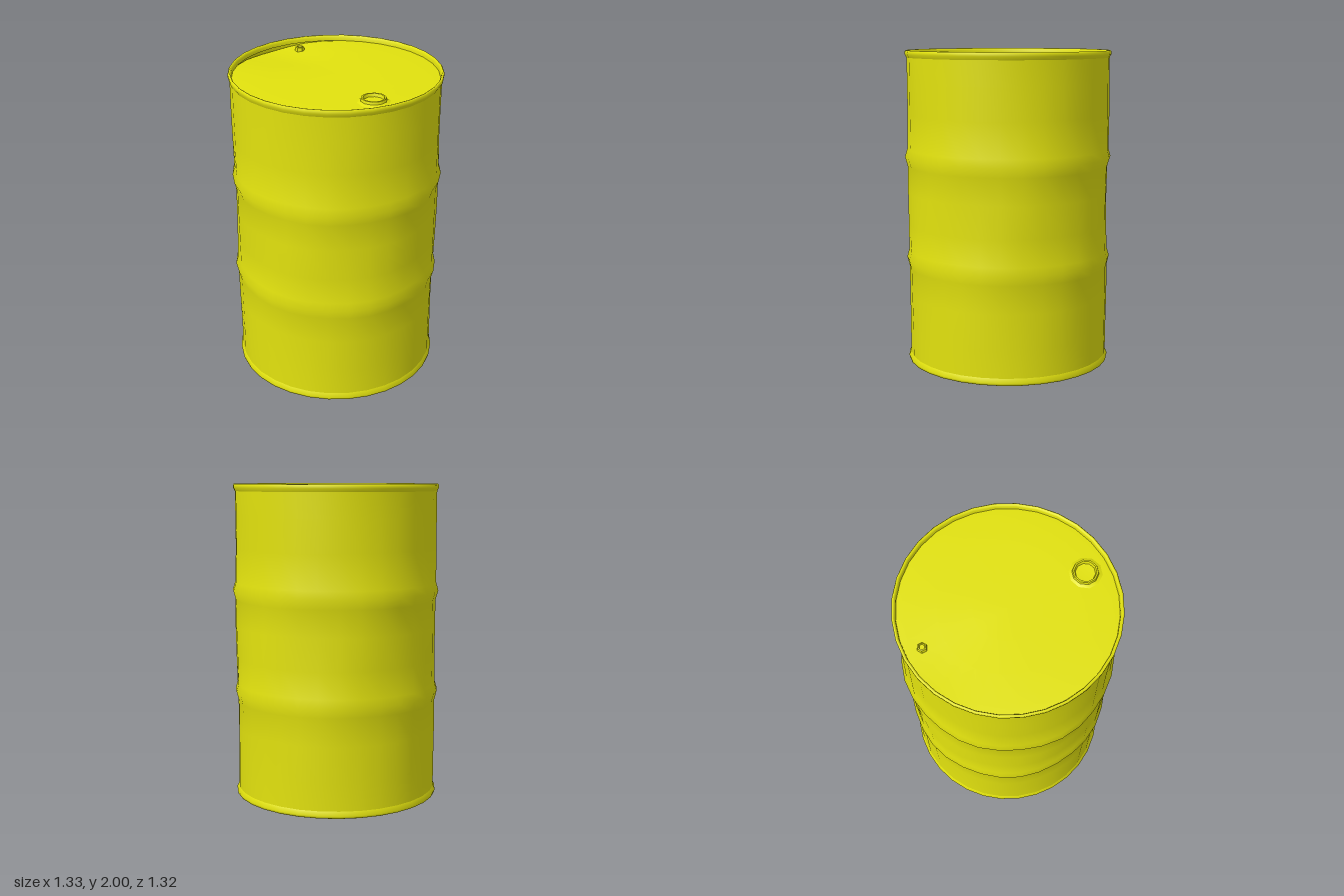
import * as THREE from 'three';
import { toCreasedNormals } from 'three/addons/utils/BufferGeometryUtils.js';

const SEGMENTS = 32;

// Revolves [radius, y] pairs around the y axis.
function lathe(points, segments = SEGMENTS) {
  return new THREE.LatheGeometry(points.map(([r, y]) => new THREE.Vector2(r, y)), segments);
}

// Gentle dents: push the wall in or out depending on angle and height.
function dent(geometry) {
  const p = geometry.attributes.position;
  for (let i = 0; i < p.count; i++) {
    const x = p.getX(i), y = p.getY(i), z = p.getZ(i);
    const a = Math.atan2(x, z);
    const fade = Math.sin(Math.PI * Math.min(1, Math.max(0, y / 2)));
    const push = fade * (0.004 * Math.sin(3 * a + 4 * y) + 0.004 * Math.sin(7 * a - 5 * y));
    const k = 1 + push / Math.hypot(x, z);
    p.setXYZ(i, x * k, y, z * k);
  }
  return geometry;
}

export function createModel() {
  const drum = new THREE.Group();
  drum.name = 'drum';
  const yellow = new THREE.MeshStandardMaterial({ color: 0xe2e20e });
  yellow.name = 'yellow paint';
  yellow.side = THREE.DoubleSide;

  function add(name, geometry, crease = 0.7) {
    const mesh = new THREE.Mesh(toCreasedNormals(geometry, crease), yellow);
    mesh.name = name;
    drum.add(mesh);
    return mesh;
  }

  // Side wall with two rolled ribs
  add('wall', dent(lathe([
    [0.642, 0.04], [0.641, 0.22], [0.642, 0.44], [0.643, 0.62], [0.658, 0.68], [0.644, 0.73],
    [0.643, 0.9], [0.643, 1.1], [0.643, 1.27], [0.66, 1.33], [0.645, 1.38],
    [0.643, 1.6], [0.643, 1.8], [0.643, 1.96],
  ])));

  // Rolled seams at both ends
  add('topRim', lathe([
    [0.643, 1.955], [0.653, 1.975], [0.654, 1.992], [0.648, 2], [0.64, 1.998], [0.634, 1.985], [0.632, 1.965],
  ]), 1.2);
  add('bottomRim', lathe([
    [0.632, 0.03], [0.636, 0.006], [0.643, 0], [0.652, 0.004], [0.655, 0.018], [0.642, 0.045],
  ]), 1.2);

  // Recessed lid, sagging slightly toward the back, and base
  const lid = lathe([[0.634, 1.965], [0.59, 1.968], [0.4, 1.97], [0.2, 1.97], [0, 1.97]]);
  const p = lid.attributes.position;
  for (let i = 0; i < p.count; i++) {
    const x = p.getX(i), z = p.getZ(i);
    const sag = 0.03 * Math.exp(-((x + 0.12) ** 2 + (z + 0.5) ** 2) / 0.05);
    p.setY(i, p.getY(i) - sag);
  }
  add('lid', lid);
  add('base', lathe([[0, 0.025], [0.4, 0.025], [0.634, 0.03]]));

  // Large filler collar with a sunken plug
  add('fillerBung', lathe([
    [0.1, 1.968], [0.078, 1.978], [0.074, 1.994], [0.064, 1.994], [0.058, 1.975], [0, 1.972],
  ], 10)).position.set(-0.03, 0, 0.49);

  // Small vent plug
  add('ventBung', lathe([
    [0.034, 1.935], [0.028, 1.975], [0.02, 1.978], [0.016, 1.968], [0, 1.967],
  ], 6)).position.set(0.03, 0, -0.53);

  return drum;
}
